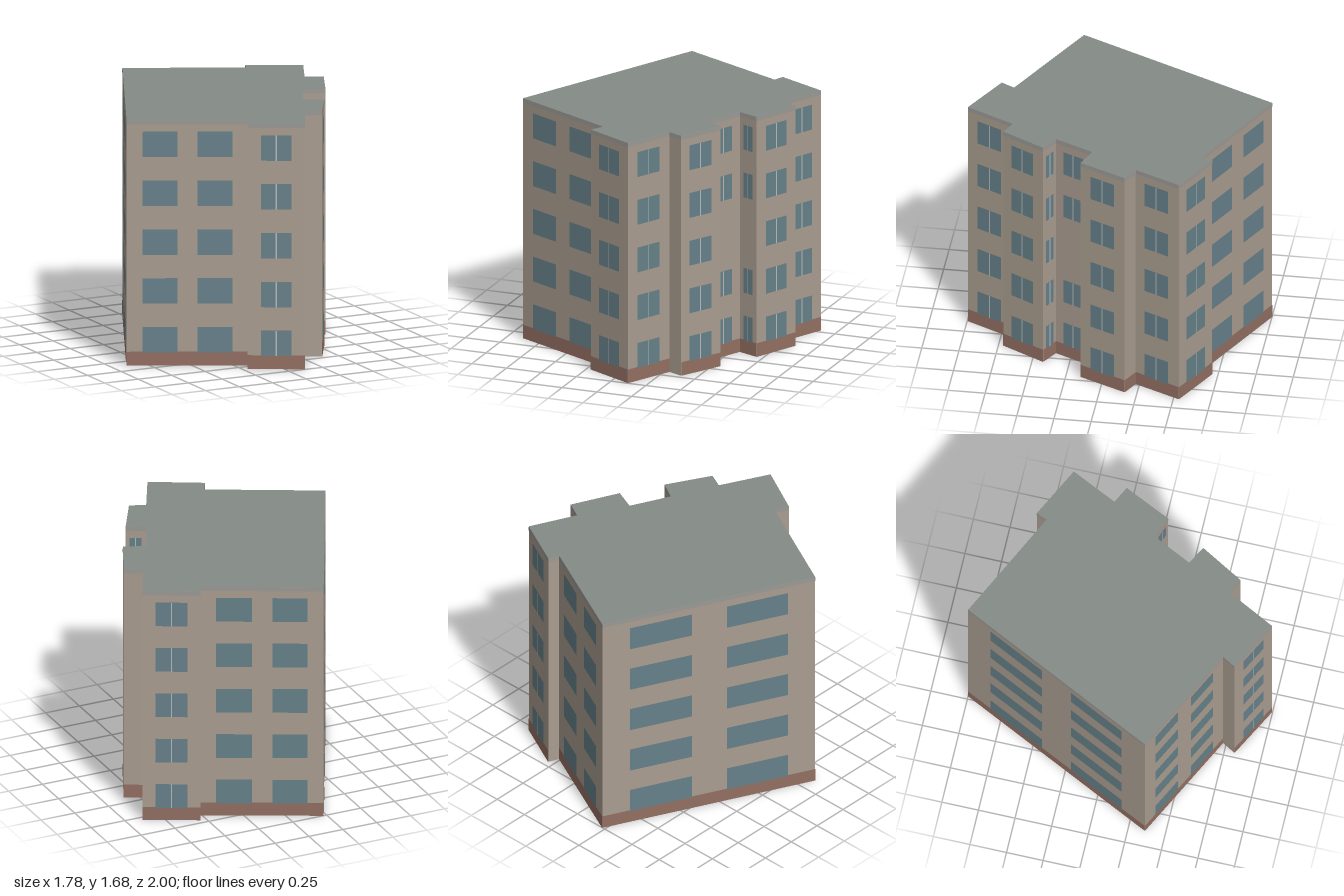
import * as THREE from 'three';

const HEIGHT = 1.68, FLOORS = 5, STOREY = 0.334;
const PLINTH_TOP = 0.095, PARAPET_BOTTOM = 1.65;
const SILL = 0.09, WINDOW_HEIGHT = 0.174, MULLION = 0.008;

const mat = (color, side = THREE.FrontSide) =>
  new THREE.MeshStandardMaterial({ color, side, roughness: 0.9 });

// Windows on a wall: spans are fractions along it, split ones have a mullion
const single = { spans: [[0.13, 0.42], [0.585, 0.87]], split: false };
const split = (from, to, skip = -1) => ({ spans: [[from, to]], split: true, skip });
const bare = { spans: [] };

// Footprint corners (x, z); each entry describes the wall to the next corner
const WALLS = [
  { at: [-0.89, 0.362], ...single },
  { at: [-0.167, 0.727], ...bare, noPlinth: true },
  { at: [-0.218, 0.817], ...split(0.236, 0.767) },
  { at: [0.12, 0.995], ...split(0.225, 0.75) },
  { at: [0.285, 0.669], ...bare, noPlinth: true },
  { at: [0.389, 0.717], ...split(0.21, 0.76) },
  { at: [0.553, 0.426], ...split(0.2, 0.76) },
  { at: [0.431, 0.357], ...split(0.21, 0.75, 2) },
  { at: [0.558, 0.093], ...split(0.24, 0.78, 2) },
  { at: [0.703, 0.151], ...split(0.23, 0.765) },
  { at: [0.852, -0.167], ...bare },
  { at: [0.738, -0.225], ...split(0.21, 0.76) },
  { at: [0.886, -0.537], ...split(0.22, 0.775) },
  { at: [0.542, -0.71], ...bare, noPlinth: true },
  { at: [0.512, -0.637], ...single },
  { at: [-0.228, -1.0], ...single },
];

export function createModel() {
  const model = new THREE.Group();
  model.name = 'apartmentBlock';

  const wallMat = mat(0xaa9d90, THREE.DoubleSide);
  const plinthMat = mat(0x936f62);
  const parapetMat = mat(0x9b9a96);
  const glassMat = mat(0x67818a);
  const mullionMat = mat(0xb9bcba);
  const roofMat = mat(0x848c88, THREE.DoubleSide);

  WALLS.forEach((wall, i) => {
    const [ax, az] = wall.at;
    const [bx, bz] = WALLS[(i + 1) % WALLS.length].at;
    const length = Math.hypot(bx - ax, bz - az);

    // Local frame: x along the wall, z outwards
    const facade = new THREE.Group();
    facade.name = `facade${i + 1}`;
    facade.position.set(ax, 0, az);
    facade.rotation.y = Math.atan2(-(bz - az), bx - ax);
    model.add(facade);

    const panel = (name, x0, x1, y0, y1, offset, material) => {
      const mesh = new THREE.Mesh(new THREE.PlaneGeometry(x1 - x0, y1 - y0), material);
      mesh.position.set((x0 + x1) / 2, (y0 + y1) / 2, offset);
      mesh.name = name;
      facade.add(mesh);
    };

    panel('wall', 0, length, 0, HEIGHT, 0, wallMat);
    panel('parapetBand', 0, length, PARAPET_BOTTOM, HEIGHT, 0.002, parapetMat);
    if (!wall.noPlinth) panel('plinth', 0, length, 0, PLINTH_TOP, 0.002, plinthMat);

    // One row of windows per floor
    for (let floor = 0; floor < FLOORS; floor++) {
      if (floor === wall.skip) continue;
      const y0 = SILL + floor * STOREY, y1 = y0 + WINDOW_HEIGHT;
      for (const [from, to] of wall.spans) {
        const x0 = from * length, x1 = to * length, mid = (x0 + x1) / 2;
        panel('window', x0, x1, y0, y1, 0.004, glassMat);
        if (wall.split) panel('mullion', mid - MULLION / 2, mid + MULLION / 2, y0, y1, 0.006, mullionMat);
      }
    }
  });

  // Flat roof over the footprint; the underside stays open
  const outline = new THREE.Shape(WALLS.map(({ at: [x, z] }) => new THREE.Vector2(x, -z)));
  const roof = new THREE.Mesh(new THREE.ShapeGeometry(outline).rotateX(-Math.PI / 2), roofMat);
  roof.position.y = HEIGHT;
  roof.name = 'roof';
  model.add(roof);

  return model;
}
